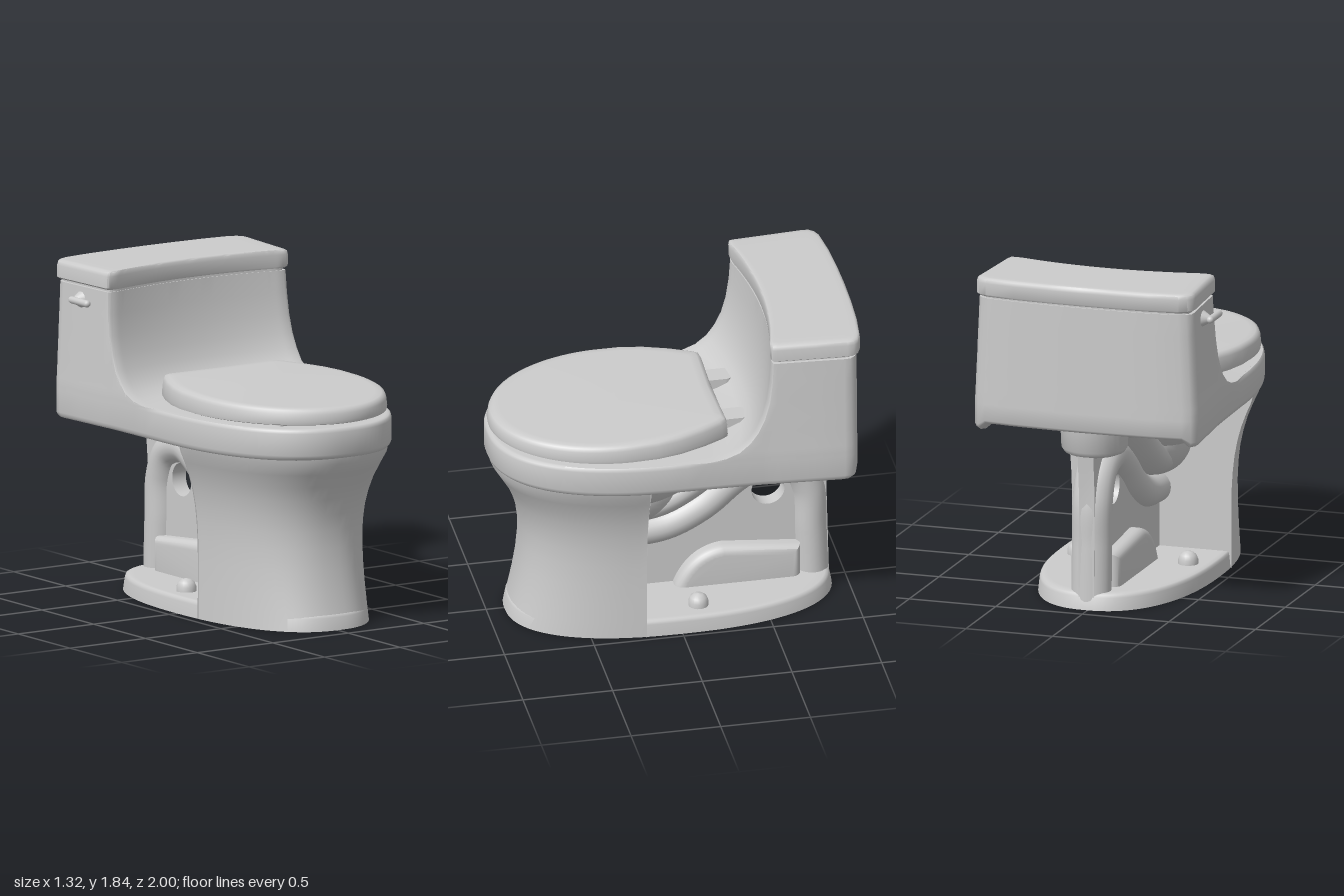
import * as THREE from 'three';
import { toCreasedNormals } from 'three/addons/utils/BufferGeometryUtils.js';

const material = new THREE.MeshStandardMaterial({ color: 0xcccccc });

function add(parent, name, geometry, x = 0, y = 0, z = 0) {
  const mesh = new THREE.Mesh(geometry, material);
  mesh.name = name;
  mesh.position.set(x, y, z);
  parent.add(mesh);
  return mesh;
}

// Skin a list of closed loops (ordered bottom to top), capping both ends.
function loft(loops) {
  const centre = (loop) => {
    const c = new THREE.Box3().setFromPoints(loop).getCenter(new THREE.Vector3());
    return loop.map(() => c);
  };
  const rows = [centre(loops[0]), ...loops, centre(loops[loops.length - 1])];
  const out = [];
  const tri = new THREE.Triangle();
  const face = (a, b, c) => {
    if (tri.set(a, b, c).getArea() > 1e-8) for (const p of [a, b, c]) out.push(p.x, p.y, p.z);
  };
  for (let r = 0; r < rows.length - 1; r++) {
    const lo = rows[r], hi = rows[r + 1], n = lo.length;
    for (let i = 0; i < n; i++) {
      const j = (i + 1) % n;
      face(lo[i], lo[j], hi[j]);
      face(lo[i], hi[j], hi[i]);
    }
  }
  const g = new THREE.BufferGeometry();
  g.setAttribute('position', new THREE.Float32BufferAttribute(out, 3));
  return toCreasedNormals(g, 0.8);
}

// Quarter superellipse from the end point on the z axis to the widest point.
function quarter(w, len, z0, p, n = 20) {
  return Array.from({ length: n + 1 }, (_, i) => {
    const t = (i / n) * Math.PI / 2;
    const c = Math.max(0, Math.cos(t));
    return [w * Math.sin(t) ** p, z0 + len * c ** p];
  });
}

// Complete a half outline by mirroring it in x.
const mirror = (half) => [...half, ...half.slice(1, -1).reverse().map(([x, z]) => [-x, z])];

function oval(w, front, back) {
  const rear = quarter(w, back, 0, 0.85).reverse().slice(1);
  return mirror([...quarter(w, front, 0, 0.85), ...rear]);
}

// Plan of rim and tank together
const bodyPlan = mirror([
  ...quarter(0.6, 1, 0, 0.85, 28),
  [0.602, -0.1], [0.604, -0.2], [0.606, -0.28], [0.608, -0.36], [0.61, -0.42], [0.612, -0.46],
  [0.616, -0.5], [0.629, -0.7], [0.641, -0.87], [0.638, -0.905], [0.615, -0.932], [0.57, -0.95],
  [0.4, -0.968], [0.2, -0.977], [0, -0.98],
]);

// Tank section: the plan cut off along a concave front line.
function tankLoop(y, front, sx = 1, k = 1, hollow = 0.07) {
  return bodyPlan.map(([x, z]) => {
    const corner = Math.max(0, (Math.abs(x) - 0.54) / 0.07);
    const limit = front - hollow * Math.max(0, 1 - (x / 0.6) ** 2) - 0.015 * corner ** 2;
    const zz = Math.min(z, limit);
    return new THREE.Vector3(x * sx * k, y, -0.72 + (zz + 0.72) * k);
  });
}

function upperBody() {
  // Rim section; the rear lower edge is notched between its corners.
  const rim = (y, k, notch = 0) => bodyPlan.map(([x, z]) => {
    const lift = z < -0.93 && Math.abs(x) < 0.58 ? notch : 0;
    return new THREE.Vector3(x * k, y + lift, z * k);
  });
  const deck = (y, k) => bodyPlan.map(([x, z]) => {
    const s = z > 0 ? k : 1;
    return new THREE.Vector3(x * s, y, z * s);
  });
  return loft([
    rim(1.05, 0.87), rim(0.99, 0.91, 0.04), rim(0.968, 0.95, 0.04), rim(0.972, 0.98, 0.04),
    rim(0.984, 0.993, 0.035), rim(1.0, 1, 0.03), rim(1.122, 1), deck(1.137, 0.995),
    deck(1.145, 0.985), deck(1.1455, 0.965),
    tankLoop(1.147, -0.12, 1, 1, 0.11), tankLoop(1.16, -0.2, 1, 1, 0.11),
    tankLoop(1.19, -0.275, 0.998, 1, 0.105), tankLoop(1.24, -0.335, 0.993, 1, 0.095),
    tankLoop(1.3, -0.378, 0.99, 1, 0.085), tankLoop(1.38, -0.415, 0.983, 1, 0.075),
    tankLoop(1.48, -0.442, 0.977), tankLoop(1.6, -0.458, 0.968), tankLoop(1.722, -0.465, 0.96),
    tankLoop(1.722, -0.465, 0.96, 0.97), tankLoop(1.74, -0.465, 0.96, 0.97),
  ]);
}

function pedestal() {
  // [height, half width, front]
  const profile = [
    [0, 0.462, 0.9], [0.1, 0.461, 0.875], [0.2, 0.46, 0.853], [0.32, 0.46, 0.832],
    [0.44, 0.462, 0.82], [0.54, 0.468, 0.82], [0.63, 0.478, 0.832], [0.72, 0.495, 0.858],
    [0.8, 0.517, 0.893], [0.88, 0.547, 0.942], [0.94, 0.574, 0.978], [0.99, 0.588, 0.985],
  ];
  return loft(profile.map(([y, w, f]) =>
    oval(w, f, -0.9).map(([x, z]) => new THREE.Vector3(x, y, Math.max(z, 0.2)))));
}

// Side-profile plate in the z-y plane, centred on x = 0
function plate(shape, width, bevel) {
  const g = new THREE.ExtrudeGeometry(shape, {
    depth: width - 2 * bevel, bevelEnabled: bevel > 0, bevelSize: bevel, bevelThickness: bevel,
    bevelSegments: 5, curveSegments: 24,
  });
  g.translate(0, 0, bevel - width / 2).rotateY(-Math.PI / 2);
  return toCreasedNormals(g, 0.7);
}

// Pipe through [z, y] points on the centre plane
function pipe(points, radius) {
  const curve = new THREE.CatmullRomCurve3(points.map(([z, y]) => new THREE.Vector3(0, y, z)));
  return new THREE.TubeGeometry(curve, 60, radius, 24);
}

export function createModel() {
  const model = new THREE.Group();
  model.name = 'toilet';
  const body = new THREE.Group();
  body.name = 'body';
  body.position.x = 0.013;
  model.add(body);

  add(body, 'rimAndTank', upperBody());
  add(body, 'pedestal', pedestal());

  // Foot plate
  const foot = oval(0.462, 0.9, -0.915);
  add(body, 'foot', loft([[0, 1], [0.07, 0.985], [0.085, 0.977], [0.092, 0.96], [0.092, 0.9]]
    .map(([y, k]) => foot.map(([x, z]) => new THREE.Vector3(x * k, y, z * k)))));

  // Tank lid
  add(body, 'tankLid', loft([
    tankLoop(1.735, -0.46, 0.945, 1.01), tankLoop(1.745, -0.46, 0.945, 1.035),
    tankLoop(1.81, -0.46, 0.935, 1.045), tankLoop(1.83, -0.46, 0.935, 1.035),
    tankLoop(1.838, -0.46, 0.935, 1.01), tankLoop(1.84, -0.46, 0.935, 0.97),
    tankLoop(1.84, -0.46, 0.935, 0.85),
  ]), 0, 0, -0.008);

  // Seat cover, thicker towards the hinge
  const seat = mirror([...quarter(0.55, 0.69, 0.3, 1, 24), [0.543, 0.15], [0.515, 0.02],
    [0.46, -0.12], [0.4, -0.235], [0.375, -0.268], [0.34, -0.272], [0, -0.262]]);
  const seatLoop = (k, height) => seat.map(([x, z]) => new THREE.Vector3(
    x * k, height(z), 0.36 + (z - 0.36) * k));
  const top = (drop) => (z) => 1.252 + (0.99 - z) * 0.026 - drop;
  add(body, 'seatCover', loft([
    seatLoop(0.97, () => 1.163), seatLoop(0.995, () => 1.168), seatLoop(1, () => 1.185),
    seatLoop(0.99, top(0.03)), seatLoop(0.975, top(0.01)), seatLoop(0.945, top(0.001)),
    seatLoop(0.88, top(0)),
  ]));

  // Seat bumpers and hinges
  for (const s of [-1, 1]) {
    add(body, 'seatBumper', new THREE.BoxGeometry(0.08, 0.03, 0.06), s * 0.27, 1.153, 0.75);
    add(body, 'seatBumper', new THREE.BoxGeometry(0.06, 0.03, 0.08), s * 0.43, 1.153, 0.02);
    const tab = new THREE.Shape();
    tab.moveTo(-0.06, -0.1).lineTo(0.06, -0.1).lineTo(0.06, 0.03);
    tab.quadraticCurveTo(0.06, 0.065, 0.025, 0.065).lineTo(-0.025, 0.065);
    tab.quadraticCurveTo(-0.06, 0.065, -0.06, 0.03);
    const hinge = new THREE.ExtrudeGeometry(tab, { depth: 0.085, bevelEnabled: false });
    add(body, 'hinge', hinge.rotateX(-Math.PI / 2), s * 0.215, 1.13, -0.335);
  }
  const bar = new THREE.CylinderGeometry(0.02, 0.02, 0.64, 16).rotateZ(Math.PI / 2);
  add(body, 'hingeBar', bar, 0, 1.2, -0.258);

  // Trapway pipe, web with a round opening and rear fin, and the mound at its base
  const path = [[0.25, 0.42], [0, 0.45], [-0.2, 0.55], [-0.38, 0.7], [-0.55, 0.79],
    [-0.71, 0.745], [-0.785, 0.6], [-0.798, 0.35], [-0.81, 0.04]];
  add(body, 'trapway', pipe(path, 0.097)).scale.x = 1.15;
  const web = new THREE.Shape([[0.25, 0.04], ...path.slice(0, 5), [-0.6, 0.88], [-0.91, 0.88],
    [-0.885, 0.62], [-0.9, 0.04]].map(([z, y]) => new THREE.Vector2(z, y)));
  web.holes.push(new THREE.Path().absarc(-0.56, 0.61, 0.092, 0, Math.PI * 2, true));
  add(body, 'trapwayWeb', plate(web, 0.09, 0));
  const mound = new THREE.Shape();
  mound.moveTo(-0.07, 0.06).quadraticCurveTo(-0.14, 0.25, -0.3, 0.265);
  mound.lineTo(-0.68, 0.23).lineTo(-0.68, 0.06);
  add(body, 'webMound', plate(mound, 0.26, 0.05));

  // Underside of the bowl and its outlet duct
  add(body, 'bowlUnderside', new THREE.SphereGeometry(
    1, 40, 16, 0, Math.PI * 2, Math.PI / 2, Math.PI / 2), 0, 1.04, 0.23).scale.set(0.44, 0.4, 0.52);
  const ball = (name, rx, ry, rz, y, z) =>
    add(body, name, new THREE.SphereGeometry(1, 32, 24), 0, y, z).scale.set(rx, ry, rz);
  ball('bowlSump', 0.24, 0.25, 0.32, 0.74, 0.23);
  ball('bowlOutlet', 0.22, 0.13, 0.2, 0.97, -0.37);
  add(body, 'bowlDuct', pipe([[0.25, 0.6], [0.05, 0.63], [-0.12, 0.72], [-0.28, 0.85],
    [-0.38, 0.95]], 0.105)).scale.x = 1.6;

  // Tank collar above the trapway
  const collar = [[0, 0.855], [0.14, 0.855], [0.165, 0.865], [0.182, 0.89], [0.19, 1.06]];
  add(body, 'tankCollar', toCreasedNormals(new THREE.LatheGeometry(
    collar.map(([r, y]) => new THREE.Vector2(r, y)), 32), 0.7), 0, 0, -0.755);

  // Floor bolt caps
  for (const s of [-1, 1]) {
    const cap = [[0.055, 0], [0.055, 0.03], [0.045, 0.055], [0.025, 0.07], [0, 0.075]];
    add(body, 'boltCap', new THREE.LatheGeometry(
      cap.map(([r, y]) => new THREE.Vector2(r, y)), 20), s * 0.32, 0.088, -0.115);
  }

  // Flush handle on the right side of the tank
  const handle = new THREE.Group();
  handle.name = 'flushHandle';
  handle.position.set(-0.6, 1.65, -0.71);
  model.add(handle);
  const knob = new THREE.CylinderGeometry(0.02, 0.045, 0.04, 20).rotateZ(Math.PI / 2);
  add(handle, 'handlePivot', knob, -0.018, 0, 0);
  const lever = new THREE.CapsuleGeometry(0.02, 0.145, 6, 14).rotateX(Math.PI / 2);
  add(handle, 'handleLever', lever, -0.045, 0, 0.055);

  return model;
}
